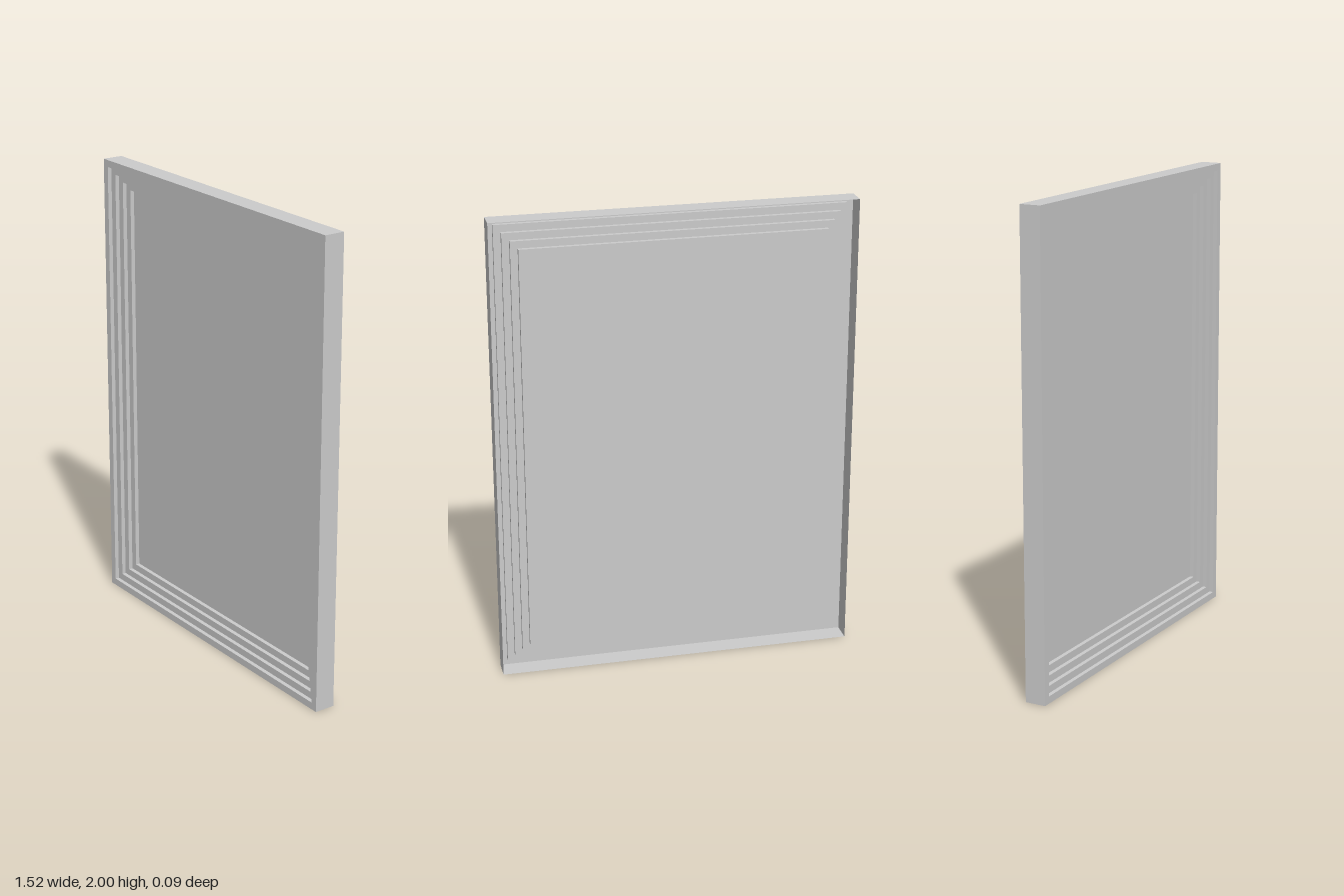
import * as THREE from 'three';

const WIDTH = 1.525, HEIGHT = 2, DEPTH = 0.09;
const STEPS = 4, TREAD = 0.0305, RISER = 0.018;

// Corners of a rectangle inset from the outline, counter-clockwise from the front
function corners(inset, z) {
  const x = WIDTH / 2 - inset, y0 = inset, y1 = HEIGHT - inset;
  return [[-x, y0, z], [x, y0, z], [x, y1, z], [-x, y1, z]];
}

// Four-sided band joining two rectangles, with sharp edges
function band(insetA, zA, insetB, zB) {
  const a = corners(insetA, zA), b = corners(insetB, zB), pos = [];
  for (let i = 0; i < 4; i++) {
    const j = (i + 1) % 4;
    pos.push(...a[i], ...a[j], ...b[j], ...a[i], ...b[j], ...b[i]);
  }
  const geo = new THREE.BufferGeometry();
  geo.setAttribute('position', new THREE.Float32BufferAttribute(pos, 3));
  geo.computeVertexNormals();
  return geo;
}

export function createModel() {
  const model = new THREE.Group();
  model.name = 'steppedPanel';
  const material = new THREE.MeshStandardMaterial({ color: 0xcccccc, side: THREE.DoubleSide });
  const add = (name, geometry) => {
    const mesh = new THREE.Mesh(geometry, material);
    mesh.name = name;
    model.add(mesh);
    return mesh;
  };

  // Thin outer wall, open at the back
  add('outerWall', band(0, -DEPTH / 2, 0, DEPTH / 2));

  // Flat rings stepping inward and back towards the panel
  for (let i = 0; i < STEPS; i++) {
    const z = DEPTH / 2 - i * RISER, inner = (i + 1) * TREAD;
    add(`frameRing${i + 1}`, band(i * TREAD, z, inner, z));
    add(`frameStep${i + 1}`, band(inner, z, inner, z - RISER));
  }

  // Recessed centre panel
  const inset = STEPS * TREAD;
  const panel = add('panel', new THREE.PlaneGeometry(WIDTH - 2 * inset, HEIGHT - 2 * inset));
  panel.position.set(0, HEIGHT / 2, DEPTH / 2 - STEPS * RISER);

  return model;
}
